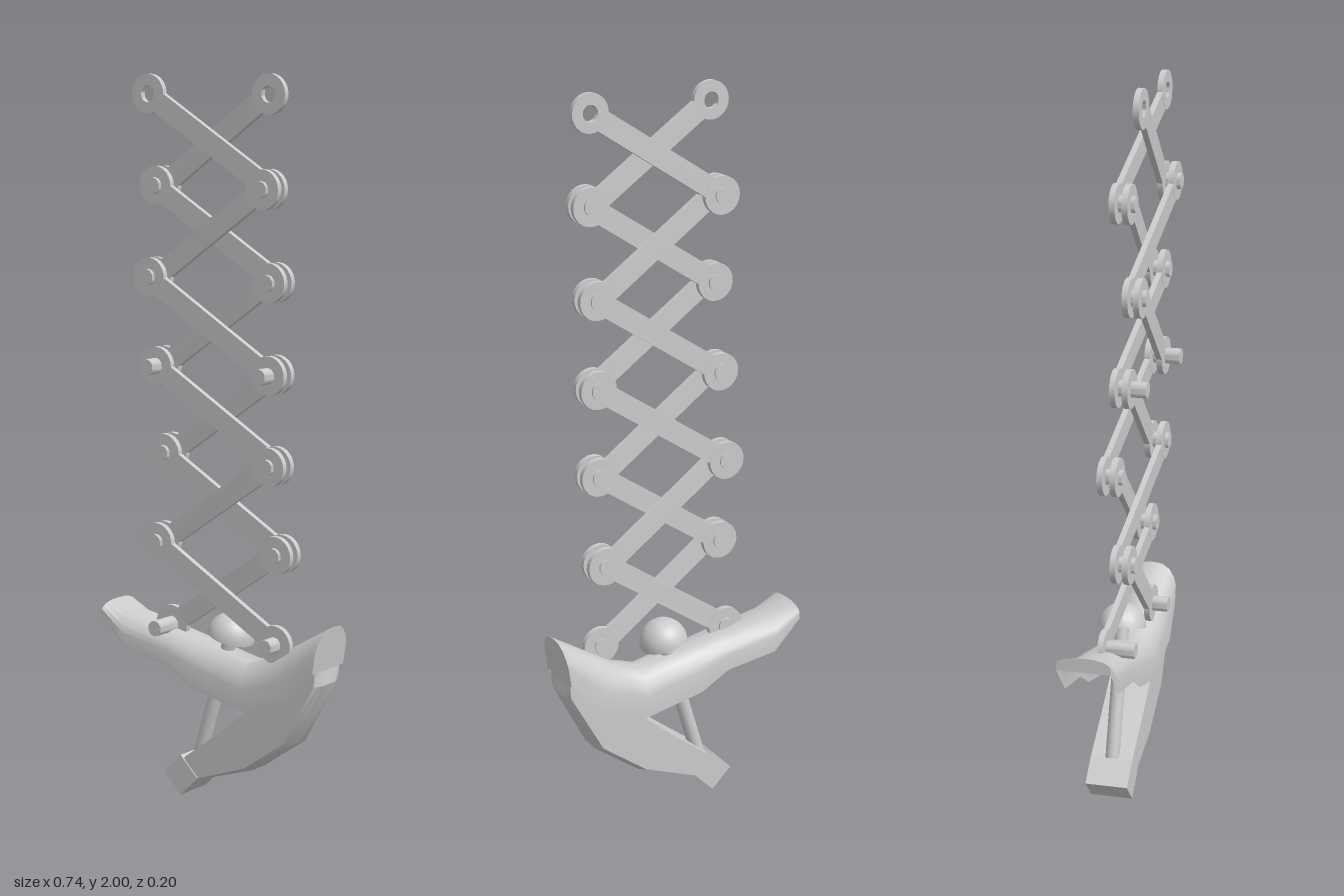
import * as THREE from 'three';
import { mergeGeometries, toCreasedNormals } from 'three/addons/utils/BufferGeometryUtils.js';

const material = new THREE.MeshStandardMaterial({ color: 0xcccccc });
const thinMaterial = new THREE.MeshStandardMaterial({ color: 0xcccccc, side: THREE.DoubleSide });

const LAYERS = [0.078, 0.048, 0.014, -0.021]; // z of the stacked link layers
const THICK = 0.016;
const CENTRE_X = 0.018, HALF_X = 0.187;
const TOP_Y = 1.947, STEP = 0.2455;

const jointX = side => CENTRE_X + side * HALF_X;
const jointY = row => TOP_Y - row * STEP;

function add(parent, name, geometry, mat = material) {
  const mesh = new THREE.Mesh(geometry, mat);
  mesh.name = name;
  parent.add(mesh);
  return mesh;
}

// Flat ring at each end, joined by a bar that slants from one layer to the next
function linkGeometry(length, z0, z1) {
  const ring = new THREE.Shape().absarc(0, 0, 0.053, 0, Math.PI * 2);
  ring.holes.push(new THREE.Path().absarc(0, 0, 0.022, 0, Math.PI * 2, true));
  const pad = new THREE.ExtrudeGeometry(ring, { depth: THICK, bevelEnabled: false, curveSegments: 12 });
  pad.translate(0, 0, -THICK / 2);
  const inset = 0.043;
  const bar = new THREE.BoxGeometry(length - 2 * inset, 0.058, THICK).toNonIndexed();
  bar.translate(length / 2, 0, 0);
  const p = bar.attributes.position;
  for (let i = 0; i < p.count; i++) p.setZ(i, p.getZ(i) + (p.getX(i) < length / 2 ? z0 : z1));
  bar.computeVertexNormals();
  const merged = mergeGeometries([pad.clone().translate(0, 0, z0), pad.clone().translate(length, 0, z1), bar]);
  return toCreasedNormals(merged, 0.7);
}

// Skin over stations [bottomX, bottomY, topX, topY] with a section of [z, height fraction] points
function loft(stations, section, closed) {
  const n = section.length, pos = [], idx = [];
  for (const [bx, by, tx, ty] of stations)
    for (const [z, v] of section) pos.push(bx + (tx - bx) * v, by + (ty - by) * v, z);
  for (let i = 0; i < stations.length - 1; i++)
    for (let j = 0; j < (closed ? n : n - 1); j++) {
      const a = i * n + j, c = i * n + (j + 1) % n, b = a + n, d = c + n;
      idx.push(a, b, c, c, b, d);
    }
  const last = (stations.length - 1) * n;
  for (let j = 1; j < n - 1; j++) idx.push(0, j, j + 1, last, last + j + 1, last + j);
  const g = new THREE.BufferGeometry();
  g.setAttribute('position', new THREE.Float32BufferAttribute(pos, 3));
  g.setIndex(idx);
  return toCreasedNormals(g, 0.6);
}

function scissorArm() {
  const arm = new THREE.Group();
  arm.name = 'scissorArm';
  const joints = new Map();
  const touch = (side, row, layer) => {
    const key = side + ':' + row;
    if (!joints.has(key)) joints.set(key, { side, row, layers: [] });
    joints.get(key).layers.push(layer);
  };
  const addLink = (name, side, row, layer) => {
    const dx = -side * 2 * HALF_X, dy = -STEP;
    const link = add(arm, name, linkGeometry(Math.hypot(dx, dy), LAYERS[layer], LAYERS[layer + 1]));
    link.position.set(jointX(side), jointY(row), 0);
    link.rotation.z = Math.atan2(dy, dx);
    touch(side, row, layer);
    touch(-side, row + 1, layer + 1);
  };

  // Each cell: side where the front link starts, and its starting layer
  [[-1, 0], [1, 0], [-1, 0], [-1, 1], [1, 1], [-1, 1]].forEach(([side, layer], row) => {
    addLink('frontLink', side, row, layer);
    addLink('backLink', -side, row, layer + 1);
  });

  // Pivot pins; the top holes stay empty, the middle and bottom pins stick out forward
  for (const { side, row, layers } of joints.values()) {
    if (row === 0) continue;
    let front = LAYERS[Math.min(...layers)] + 0.019;
    if (row === 3) front = 0.098;
    if (row === 6) front = 0.066;
    const back = LAYERS[Math.max(...layers)] - 0.013;
    const g = new THREE.CylinderGeometry(0.0225, 0.0225, front - back, 10).rotateX(Math.PI / 2);
    add(arm, 'pivotPin', toCreasedNormals(g, 0.7)).position.set(jointX(side), jointY(row), (front + back) / 2);
  }
  return arm;
}

function baseUnit() {
  const base = new THREE.Group();
  base.name = 'baseUnit';
  base.position.z = -0.025;

  // Upper arched shell, open below
  const arch = [[1, 0], [1, 0.48], [0.92, 0.66], [0.72, 0.85], [0.42, 0.97], [0, 1]];
  const archSection = [...arch, ...arch.slice(0, -1).reverse().map(([z, v]) => [-z, v])]
    .map(([z, v]) => [z * 0.075, v]);
  add(base, 'upperShell', loft([
    [-0.37, 0.48, -0.37, 0.52], [-0.29, 0.395, -0.3, 0.495], [-0.14, 0.37, -0.13, 0.46],
    [-0.055, 0.32, -0.03, 0.44], [0.12, 0.28, 0.11, 0.41], [0.29, 0.335, 0.19, 0.435],
    [0.35, 0.42, 0.368, 0.54],
  ], archSection, false), thinMaterial);

  // Lower jaw with chamfered underside
  add(base, 'lowerJaw', loft([
    [-0.055, 0.045, -0.09, 0.11], [0.125, 0.105, 0.03, 0.2], [0.26, 0.2, 0.14, 0.29],
    [0.355, 0.38, 0.25, 0.38], [0.35, 0.42, 0.33, 0.43],
  ], [[0.03, 0], [0.06, 0.1], [0.06, 1], [-0.06, 1], [-0.06, 0.1], [-0.03, 0]], true), thinMaterial);

  // Square block at the foot
  const block = add(base, 'footBlock', new THREE.BoxGeometry(0.082, 0.082, 0.12));
  block.position.set(-0.1, 0.058, 0.003);
  block.rotation.z = Math.PI / 4;

  // Tilted rod with a domed knob
  const plunger = new THREE.Group();
  plunger.name = 'plunger';
  plunger.position.set(0.028, 0.464, 0);
  plunger.rotation.z = -0.29;
  add(plunger, 'rod', new THREE.CylinderGeometry(0.02, 0.02, 0.4, 16)).position.y = -0.2;
  const dome = [[0, 0]];
  for (let i = 0; i <= 8; i++) {
    const a = i / 8 * Math.PI / 2;
    dome.push([0.068 * Math.cos(a), 0.068 * Math.sin(a)]);
  }
  const knob = new THREE.LatheGeometry(dome.map(([r, y]) => new THREE.Vector2(r, y)), 20);
  add(plunger, 'domeKnob', toCreasedNormals(knob, 0.7));
  base.add(plunger);
  return base;
}

export function createModel() {
  const model = new THREE.Group();
  model.name = 'scissorExtender';
  model.add(scissorArm(), baseUnit());
  return model;
}
